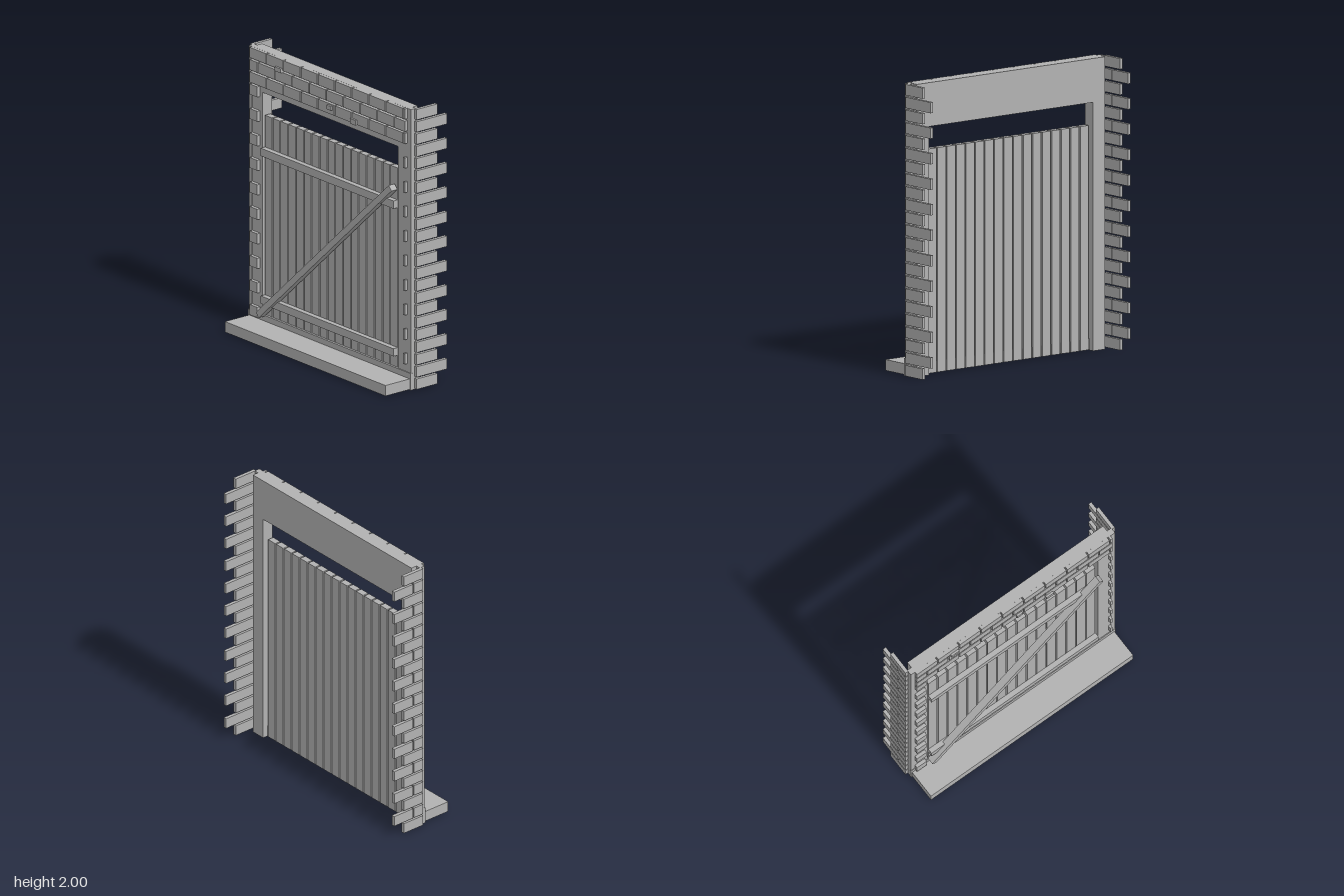
import * as THREE from 'three';

const stone = new THREE.MeshStandardMaterial({ color: 0xb2b2b2 });
stone.name = 'plain grey';

// Box given by its minimum and maximum on each axis
function block(parent, name, x0, x1, y0, y1, z0, z1) {
  const mesh = new THREE.Mesh(new THREE.BoxGeometry(x1 - x0, y1 - y0, z1 - z0), stone);
  mesh.position.set((x0 + x1) / 2, (y0 + y1) / 2, (z0 + z1) / 2);
  mesh.name = name;
  parent.add(mesh);
  return mesh;
}

function part(parent, name) {
  const group = new THREE.Group();
  group.name = name;
  parent.add(group);
  return group;
}

const ROWS = 23, PITCH = 0.0873, BRICK_H = 0.074;
const rowY = (i) => 0.005 + i * PITCH;

export function createModel() {
  const model = new THREE.Group();
  model.name = 'gateway';

  // Wall with a doorway cut from its lower edge
  const outline = new THREE.Shape([
    [-0.82, 0], [-0.715, 0], [-0.715, 1.7], [0.715, 1.7],
    [0.715, 0], [0.82, 0], [0.82, 2], [-0.82, 2],
  ].map(([x, y]) => new THREE.Vector2(x, y)));
  const wallGeometry = new THREE.ExtrudeGeometry(outline, { depth: 0.085, bevelEnabled: false });
  wallGeometry.translate(0, 0, -0.045);
  const wall = new THREE.Mesh(wallGeometry, stone);
  wall.name = 'wall';
  model.add(wall);

  // Side strips and the brick courses that run back from them
  for (const s of [-1, 1]) {
    const side = part(model, s > 0 ? 'leftSideBricks' : 'rightSideBricks');
    const sideBlock = (name, y0, y1, z0, z1, a, b) =>
      block(side, name, Math.min(s * a, s * b), Math.max(s * a, s * b), y0, y1, z0, z1);
    sideBlock('sideStrip', 0, 2, 0, 0.042, 0.82, 0.855);
    const back = s > 0 ? 0.01 : 0;
    for (let i = 0; i < ROWS; i++) {
      const y = rowY(i);
      const spans = i % 2 ? [[-0.07, 0.01], [-0.245, -0.08]] : [[-0.16, 0.01]];
      for (const [z0, z1] of spans) {
        sideBlock('sideBrick', y, y + BRICK_H, z0 - back, z1, 0.852, 0.877);
      }
    }
  }

  // Front bricks in running bond, leaving out any that would cross the doorway
  const front = part(model, 'frontBricks');
  for (let i = 0; i < ROWS; i++) {
    const y = rowY(i);
    for (let k = 0; k < 10; k++) {
      const start = -0.82 + k * 0.18 - (i % 2 ? 0.09 : 0);
      const x0 = Math.max(-0.82, start);
      const x1 = Math.min(0.817, start + 0.171);
      const clear = i >= 20 || x1 < -0.71 || x0 > 0.72;
      if (x1 > x0 && clear) block(front, 'frontBrick', x0, x1, y, y + BRICK_H, 0.03, 0.065);
    }
  }

  // Small raised chips on the top courses
  const chips = [[-0.54, -0.475, 1.91, 1.94], [0.01, 0.055, 1.785, 1.815], [0.255, 0.315, 1.75, 1.785]];
  for (const [x0, x1, y0, y1] of chips) block(front, 'brickChip', x0, x1, y0, y1, 0.05, 0.08);

  // Plank door with two rails and a diagonal brace
  const door = part(model, 'door');
  for (let i = 0; i < 17; i++) {
    const x = -0.699 + i * 0.0828;
    block(door, 'plank', x, x + 0.072, 0.005, 1.54, -0.015, 0.03);
  }
  block(door, 'lowerRail', -0.7, 0.7, 0.205, 0.26, 0.03, 0.067);
  block(door, 'upperRail', -0.7, 0.7, 1.257, 1.313, 0.03, 0.067);
  const brace = block(door, 'brace', -0.95, 0.95, -0.022, 0.022, 0.045, 0.097);
  brace.rotation.z = Math.atan2(1.28, 1.4);
  brace.position.set(0, 0.77, 0.071);

  // Doorstep and the low sill behind it
  block(model, 'sill', -0.857, 0.857, 0, 0.12, 0.03, 0.046);
  block(model, 'doorstep', -0.847, 0.847, 0.005, 0.08, -0.005, 0.258);

  return model;
}
